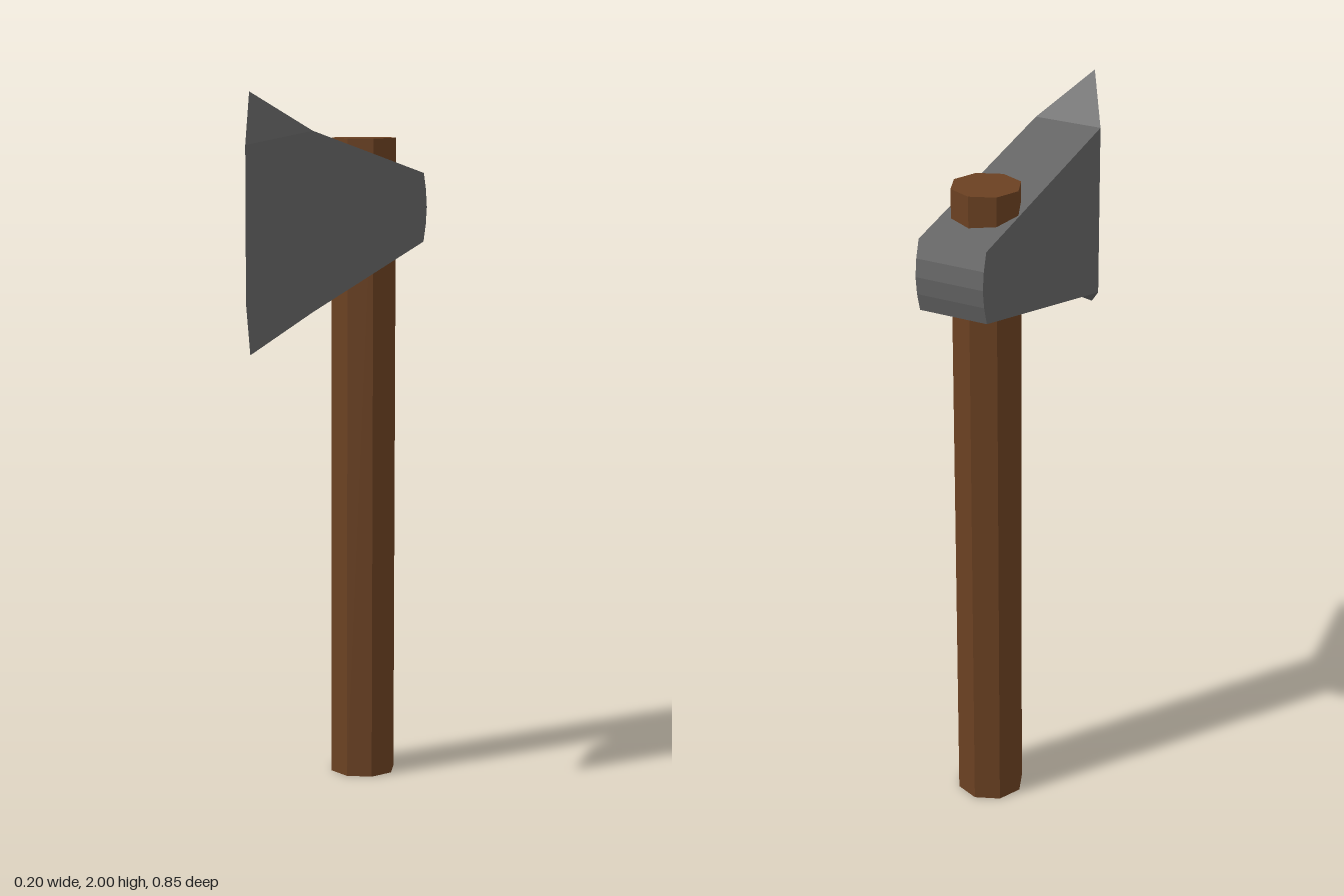
import * as THREE from 'three';

const wood = new THREE.MeshStandardMaterial({ color: 0x6b4122 });
wood.name = 'wood';
wood.flatShading = true;
const steel = new THREE.MeshStandardMaterial({ color: 0x666666 });
steel.name = 'steel';
steel.flatShading = true;

// Profile points are [z, y, half width], listed anticlockwise as seen from +x.
const socketTop = [0.243, 1.895, 0.1];
const socketBottom = [0.243, 1.407, 0.1];
const poll = [
  [-0.406, 1.56, 0.1], [-0.42, 1.61, 0.1], [-0.426, 1.66, 0.1],
  [-0.42, 1.71, 0.1], [-0.406, 1.76, 0.1],
];
const cuttingEdge = [[0.405, 2, 0], [0.426, 1.86, 0], [0.426, 1.44, 0], [0.405, 1.3, 0]];

function createHeadGeometry() {
  const positions = [];
  const at = ([z, y, w], side) => [w * side, y, z];
  const tri = (...corners) => corners.forEach((c) => positions.push(...c));

  // Both cheeks, mirrored in x
  const cheek = (a, b, c) => {
    tri(at(a, 1), at(b, 1), at(c, 1));
    tri(at(a, -1), at(c, -1), at(b, -1));
  };
  const body = [socketTop, socketBottom, ...poll];
  for (let i = 1; i < body.length - 1; i++) cheek(body[0], body[i], body[i + 1]);

  // Bevelled blade running down to the sharp edge
  const [tipTop, edgeTop, edgeBottom, tipBottom] = cuttingEdge;
  cheek(socketTop, tipTop, edgeTop);
  cheek(socketTop, edgeTop, edgeBottom);
  cheek(socketTop, edgeBottom, socketBottom);
  cheek(socketBottom, edgeBottom, tipBottom);

  // Top, back and bottom faces across the width
  const rim = [tipBottom, socketBottom, ...poll, socketTop, tipTop];
  for (let i = 0; i < rim.length - 1; i++) {
    const a = rim[i], b = rim[i + 1];
    if (a[2] > 0) tri(at(a, 1), at(a, -1), at(b, -1));
    if (b[2] > 0) tri(at(a, 1), at(b, -1), at(b, 1));
  }

  const geometry = new THREE.BufferGeometry();
  geometry.setAttribute('position', new THREE.Float32BufferAttribute(positions, 3));
  geometry.computeVertexNormals();
  return geometry;
}

export function createModel() {
  const axe = new THREE.Group();
  axe.name = 'axe';

  // Eight-sided handle passing through the head
  const handle = new THREE.Mesh(new THREE.CylinderGeometry(0.096, 0.096, 1.865, 8), wood);
  handle.name = 'handle';
  handle.position.set(0, 1.865 / 2, -0.225);

  const head = new THREE.Mesh(createHeadGeometry(), steel);
  head.name = 'axeHead';

  axe.add(handle, head);
  return axe;
}
